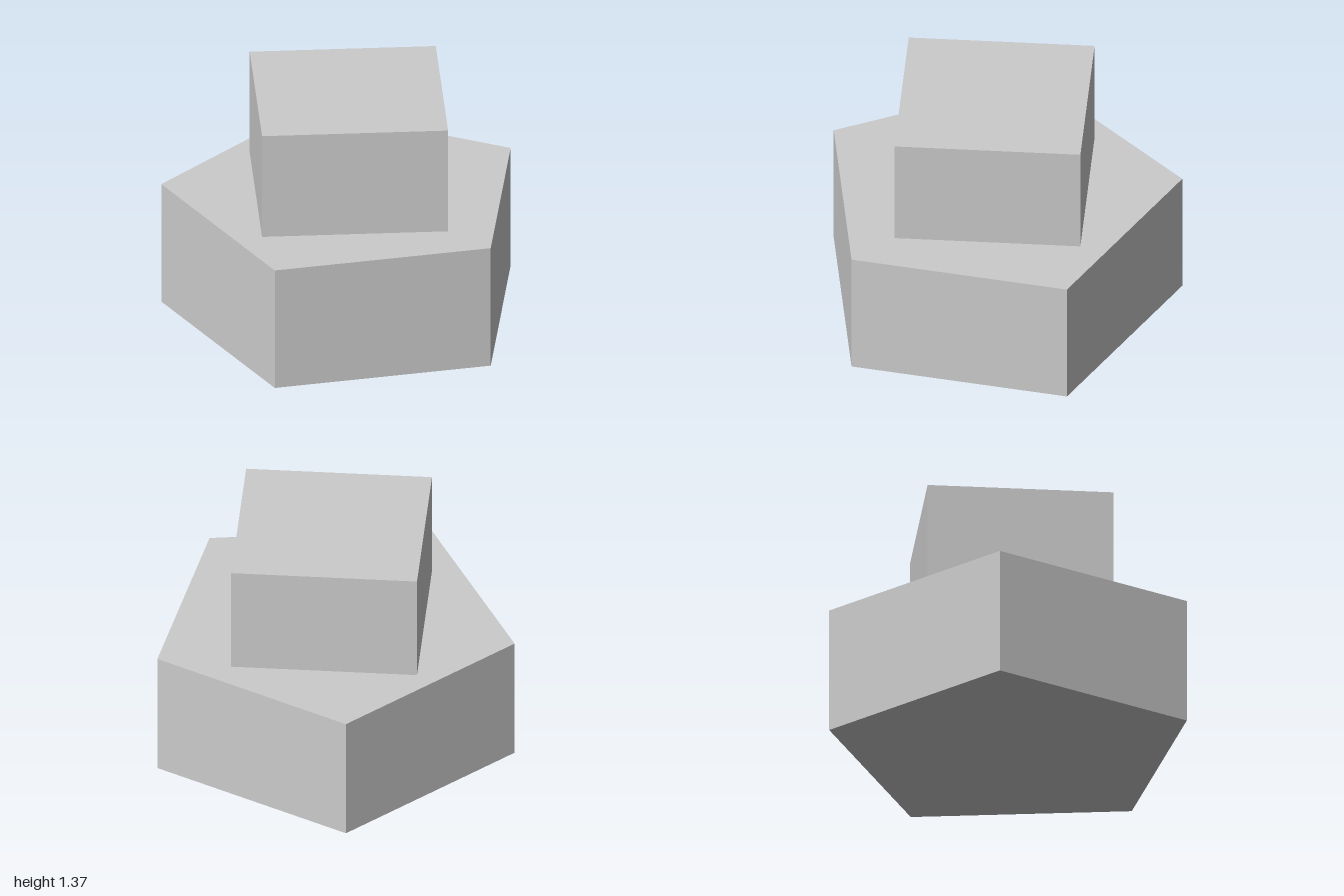
import * as THREE from 'three';

// Upright prism with one corner pointing to +x
function prism(name, sides, radius, height, baseY) {
  const geometry = new THREE.CylinderGeometry(radius, radius, height, sides, 1, false, Math.PI / 2);
  const material = new THREE.MeshStandardMaterial({ color: 0xcccccc, flatShading: true });
  const mesh = new THREE.Mesh(geometry, material);
  mesh.name = name;
  mesh.position.set(-0.1, baseY + height / 2, 0);
  return mesh;
}

export function createModel() {
  const group = new THREE.Group();
  group.name = 'steppedBlock';
  const unit = 1 / Math.sin((2 * Math.PI) / 5); // pentagon radius for a width of 2
  const baseHeight = 0.7 * unit;

  // Five-sided base, with a square block turned on its corner on top
  group.add(prism('pentagonBase', 5, unit, baseHeight, 0));
  group.add(prism('squareTop', 4, 0.7 * unit, 0.6 * unit, baseHeight));
  return group;
}
